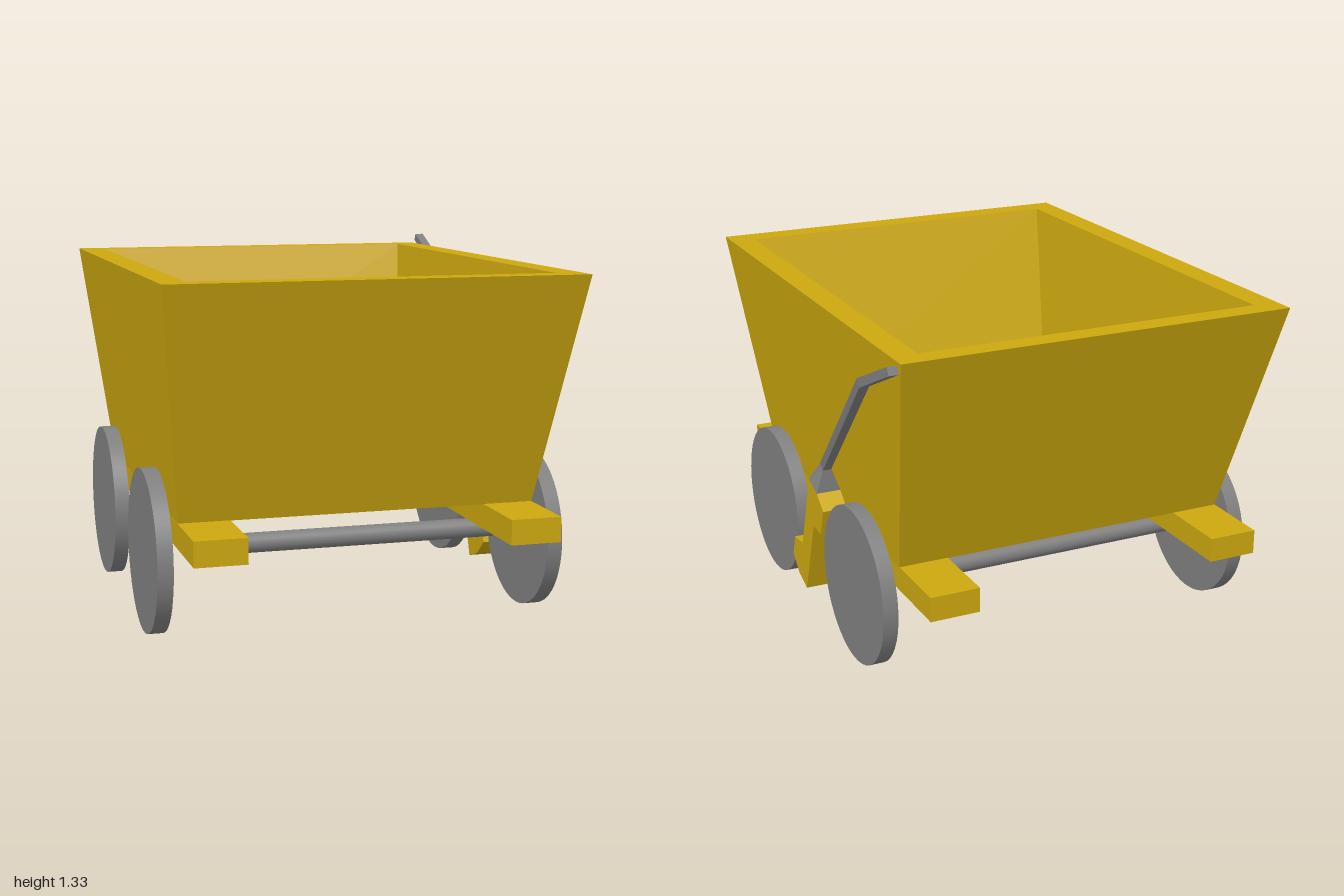
import * as THREE from 'three';

// Skin a stack of four-cornered rings (counter-clockwise seen from above) and close both ends
function loft(rings) {
  const pos = [];
  const quad = (a, b, c, d) => pos.push(...a, ...b, ...c, ...a, ...c, ...d);
  for (let k = 0; k < rings.length - 1; k++) {
    const r = rings[k], s = rings[k + 1];
    for (let i = 0; i < 4; i++) {
      const j = (i + 1) % 4;
      quad(r[i], r[j], s[j], s[i]);
    }
  }
  quad(...[...rings[0]].reverse());
  quad(...rings[rings.length - 1]);
  const g = new THREE.BufferGeometry();
  g.setAttribute('position', new THREE.Float32BufferAttribute(pos, 3));
  g.computeVertexNormals();
  return g;
}

// Ring from its x range plus front and back edges given as [z, y]
const ring = (x0, x1, [zf, yf], [zb, yb]) =>
  [[x0, yf, zf], [x1, yf, zf], [x1, yb, zb], [x0, yb, zb]];

export function createModel() {
  const model = new THREE.Group();
  model.name = 'mineCart';
  const yellow = new THREE.MeshStandardMaterial({ color: 0xcca80f });
  yellow.name = 'yellow paint';
  const grey = new THREE.MeshStandardMaterial({ color: 0x808080 });
  grey.name = 'grey metal';

  const add = (name, geometry, material) => {
    const mesh = new THREE.Mesh(geometry, material);
    mesh.name = name;
    model.add(mesh);
    return mesh;
  };

  // Tapered hollow tub: outside, rim, inside, floor
  add('tub', loft([
    ring(-0.705, 0.62, [0.73, 0.445], [-0.62, 0.445]),
    ring(-0.8, 0.713, [1, 1.3], [-0.893, 1.3]),
    ring(-0.703, 0.617, [0.905, 1.3], [-0.808, 1.3]),
    ring(-0.62, 0.53, [0.65, 0.57], [-0.55, 0.57]),
  ]), yellow);

  // Two long beams under the tub
  for (const [side, x] of [['right', -0.612], ['left', 0.525]]) {
    add(side + 'Beam', new THREE.BoxGeometry(0.188, 0.092, 1.893), yellow)
      .position.set(x, 0.4, 0.0535);
  }

  // Axles and disc wheels
  const axleGeo = new THREE.CylinderGeometry(0.037, 0.037, 1.185, 24).rotateZ(Math.PI / 2);
  const wheelGeo = new THREE.CylinderGeometry(0.3, 0.3, 0.057, 48).rotateZ(Math.PI / 2);
  for (const [end, z] of [['front', 0.5], ['back', -0.4]]) {
    add(end + 'Axle', axleGeo, grey).position.set(-0.035, 0.302, z);
    add(end + 'RightWheel', wheelGeo, grey).position.set(-0.763, 0.3, z);
    add(end + 'LeftWheel', wheelGeo, grey).position.set(0.688, 0.3, z);
  }

  // Brake shoe with stepped outline in the z-y plane
  const outline = [[0.08, 0.08], [0.165, 0.11], [0.23, 0.17], [0.2, 0.255], [0.11, 0.265],
    [0.005, 0.575], [-0.08, 0.545], [-0.145, 0.495], [-0.11, 0.39], [-0.03, 0.39]];
  const shoe = new THREE.ExtrudeGeometry(
    new THREE.Shape(outline.map(([z, y]) => new THREE.Vector2(z, y))),
    { depth: 0.095, bevelEnabled: false });
  add('brakeShoe', shoe.rotateY(-Math.PI / 2).translate(0.731, 0, 0), yellow);

  // Bent lever with flared foot
  add('brakeLever', loft([
    ring(0.636, 0.731, [0.005, 0.575], [-0.08, 0.545]),
    ring(0.67, 0.703, [-0.05, 0.655], [-0.08, 0.635]),
    ring(0.765, 0.8, [-0.722, 1.215], [-0.742, 1.187]),
    ring(0.765, 0.8, [-0.988, 1.333], [-1, 1.305]),
  ]), grey);

  return model;
}
